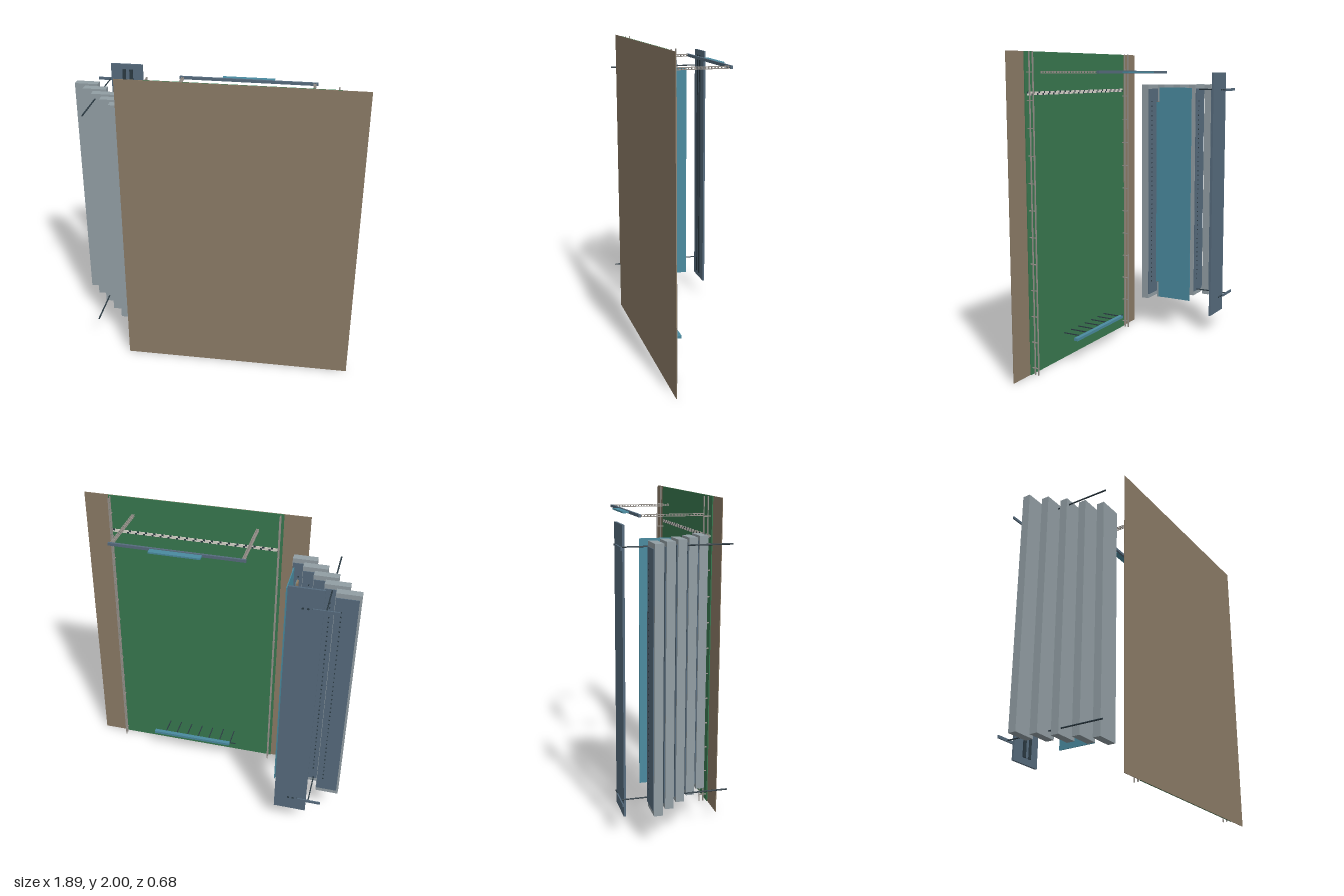
import * as THREE from 'three';

const mat = (name, color) => {
  const m = new THREE.MeshStandardMaterial({ color });
  m.name = name;
  return m;
};

export function createModel() {
  const root = new THREE.Group();
  const earth = mat('earth brown', 0x8b7b66);
  const turf = mat('turf green', 0x38784f);
  const concrete = mat('concrete grey', 0x929ea4);
  const slate = mat('slate blue', 0x566b7d);
  const teal = mat('teal blue', 0x4a8a9f);
  const dark = mat('dark steel', 0x2b3a43);
  const rail = mat('rail grey', 0x97928c);
  const white = mat('line white', 0xd8d6cc);

  // box given by its extents on each axis
  const box = (name, m, x0, x1, y0, y1, z0, z1, parent = root) => {
    const mesh = new THREE.Mesh(new THREE.BoxGeometry(x1 - x0, y1 - y0, z1 - z0), m);
    mesh.position.set((x0 + x1) / 2, (y0 + y1) / 2, (z0 + z1) / 2);
    mesh.name = name;
    parent.add(mesh);
    return mesh;
  };
  const group = (name) => {
    const g = new THREE.Group();
    g.name = name;
    root.add(g);
    return g;
  };

  // ground sheet and turf
  box('ground', earth, -0.555, 0.945, 0, 2, 0.334, 0.338);
  box('turf', turf, -0.385, 0.778, 0, 2, 0.328, 0.334);

  // checked line across the turf
  const line = group('finishLine');
  for (let i = 0; i < 80; i++) {
    const x = -0.367 + i * 0.0141;
    for (let r = 0; r < 2; r++) {
      const y = 1.74 + r * 0.011;
      box('lineTile', (i + r) % 4 === 0 ? dark : white, x, x + 0.0141, y, y + 0.011, 0.325, 0.328, line);
    }
  }

  // side fences: two long rails on short posts
  for (const x of [-0.367, 0.76]) {
    const fence = group('fence');
    for (const z of [0.282, 0.308]) box('fenceRail', rail, x - 0.004, x + 0.004, 0, 2, z - 0.003, z + 0.003, fence);
    for (let i = 0; i < 12; i++) {
      const y = 0.044 + i * 0.1667;
      box('fencePost', rail, x - 0.003, x + 0.003, y - 0.003, y + 0.003, 0.28, 0.33, fence);
    }
  }

  // gantry: lattice legs, crossbeam and sign board
  const gantry = group('gantry');
  for (const x of [-0.22, 0.612]) {
    for (const dx of [-0.007, 0.007]) {
      for (const dy of [-0.006, 0.006]) {
        box('gantryLegRod', rail, x + dx - 0.002, x + dx + 0.002, 1.876 + dy - 0.002, 1.876 + dy + 0.002, -0.082, 0.33, gantry);
      }
    }
    for (let i = 0; i < 21; i++) {
      const z = -0.075 + i * 0.02;
      box('gantryLegRung', rail, x - 0.007, x + 0.007, 1.87, 1.882, z - 0.002, z + 0.002, gantry);
    }
  }
  box('gantryBeam', slate, -0.24, 0.632, 1.868, 1.886, -0.097, -0.082, gantry);
  box('gantryBoard', teal, 0.03, 0.36, 1.872, 1.882, -0.14, -0.097, gantry);

  // starting gate on thin legs
  const gate = group('startGate');
  box('gateBeam', teal, -0.095, 0.485, 0.16, 0.178, 0.17, 0.198, gate);
  box('gateArm', dark, -0.138, -0.095, 0.167, 0.172, 0.192, 0.197, gate);
  for (let i = 0; i < 7; i++) {
    const x = -0.095 + i * 0.0832;
    box('gateLeg', dark, x - 0.003, x + 0.003, 0.167, 0.173, 0.19, 0.33, gate);
  }

  // stepped stand with seat sheets and rows of small seats
  const stand = group('grandstand');
  for (let i = 0; i < 5; i++) {
    const x = -0.945 + i * 0.0785;
    const z = -0.175 + i * 0.0875;
    box('standStep', concrete, x, x + 0.153, 0.21, 1.79, z, z + 0.052, stand);
    box('seatSheet', slate, x + 0.012, x + 0.15, 0.24, 1.76, z - 0.005, z, stand);
    for (let j = 0; j < 40; j++) {
      const y = 0.335 + j * 0.0342;
      box('seat', dark, x + 0.106, x + 0.114, y - 0.004, y + 0.004, z - 0.009, z - 0.005, stand);
    }
  }

  // front screen and counter
  box('screen', teal, -0.503, -0.497, 0.23, 1.77, -0.157, 0.097, stand);
  box('counter', earth, -0.532, -0.52, 0.333, 1.67, 0.08, 0.128, stand);
  box('counterFace', teal, -0.52, -0.516, 0.337, 1.666, 0.08, 0.128, stand);

  // roof with dark strips beneath it
  box('roof', slate, -0.745, -0.53, 0.13, 1.875, -0.311, -0.298, stand);
  box('roofStrip', dark, -0.667, -0.644, 0.17, 1.84, -0.298, -0.29, stand);
  box('roofStrip', dark, -0.62, -0.597, 0.17, 1.84, -0.298, -0.29, stand);
  box('roofStripBed', slate, -0.644, -0.62, 0.17, 1.84, -0.298, -0.293, stand);

  // light masts at both ends
  for (const y of [0.25, 1.755]) {
    const mast = group('lightMast');
    const pole = new THREE.Mesh(new THREE.CylinderGeometry(0.004, 0.005, 0.665, 10), dark);
    pole.rotation.x = -Math.PI / 2;
    pole.position.set(-0.763, y, -0.001);
    pole.name = 'mastPole';
    mast.add(pole);
    box('mastCrossbar', slate, -0.845, -0.685, y - 0.009, y + 0.009, -0.341, -0.333, mast);
    for (const x of [-0.69, -0.658, -0.627]) {
      box('mastLamp', dark, x - 0.006, x + 0.006, y - 0.005, y + 0.005, -0.335, -0.329, mast);
    }
  }

  return root;
}
